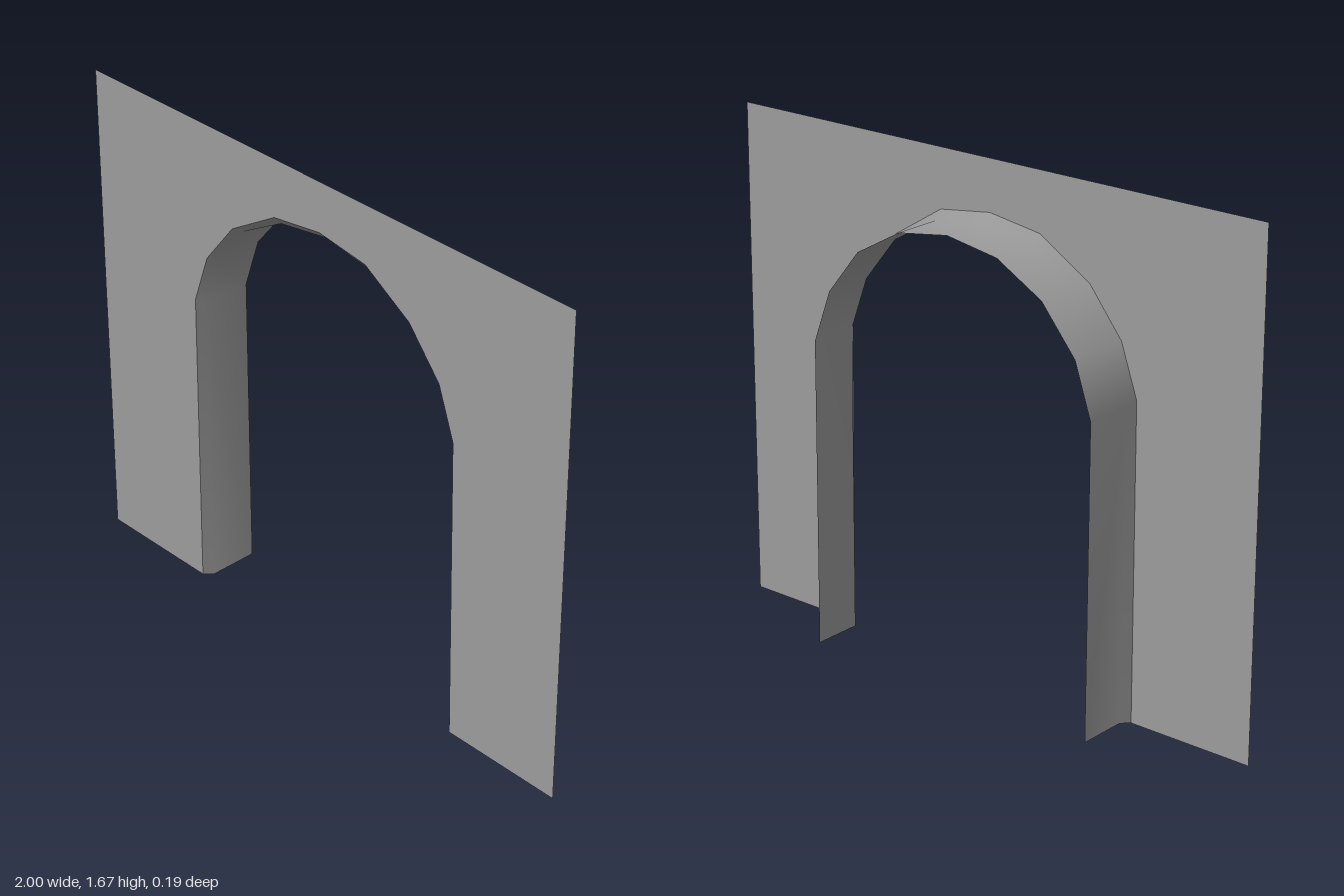
import * as THREE from 'three';

const FRONT = 0.097, BEVEL = 0.072, BACK = -0.097, HEIGHT = 1.667;

// Opening outline, from the right foot over the crown to the left foot
const outer = [[-0.565, 0], [-0.56, 1.04], [-0.5, 1.21], [-0.38, 1.36], [-0.192, 1.473], [0, 1.5],
  [0.192, 1.473], [0.373, 1.36], [0.497, 1.21], [0.557, 1.04], [0.57, 0]];
const inner = [[-0.54, 0], [-0.543, 1.025], [-0.483, 1.2], [-0.358, 1.35], [-0.19, 1.444], [0, 1.474],
  [0.19, 1.444], [0.356, 1.35], [0.476, 1.2], [0.54, 1.025], [0.545, 0]];

// Skin a row of open cross-sections with smooth normals
function loft(sections) {
  const n = sections[0].points.length, positions = [], index = [];
  for (const { points, z } of sections) for (const [x, y] of points) positions.push(x, y, z);
  for (let s = 0; s < sections.length - 1; s++) {
    for (let i = 0; i < n - 1; i++) {
      const a = s * n + i, b = a + 1, c = a + n, d = c + 1;
      index.push(a, b, c, b, d, c);
    }
  }
  const geometry = new THREE.BufferGeometry();
  geometry.setAttribute('position', new THREE.Float32BufferAttribute(positions, 3));
  geometry.setIndex(index);
  geometry.computeVertexNormals();
  // The first section shares the second one's normals, so the chamfer shades softly
  geometry.attributes.normal.array.copyWithin(0, 3 * n, 6 * n);
  return geometry;
}

export function createModel() {
  const group = new THREE.Group();
  group.name = 'archway';
  const material = new THREE.MeshStandardMaterial({ color: 0x9c9c9c, side: THREE.DoubleSide });

  // Thin flat wall with the arched opening cut from its lower edge
  const outline = [[-1, 0], ...outer, [1, 0], [1, HEIGHT], [-1, HEIGHT]];
  const shape = new THREE.Shape(outline.map(([x, y]) => new THREE.Vector2(x, y)));
  const wall = new THREE.Mesh(new THREE.ShapeGeometry(shape), material);
  wall.position.z = FRONT;
  wall.name = 'wallPanel';
  group.add(wall);

  // Lining of the opening: a small chamfer, then a straight run to the back
  const lining = new THREE.Mesh(loft([
    { points: outer, z: FRONT },
    { points: inner, z: BEVEL },
    { points: inner, z: BACK },
  ]), material);
  lining.name = 'archLining';
  group.add(lining);

  return group;
}
